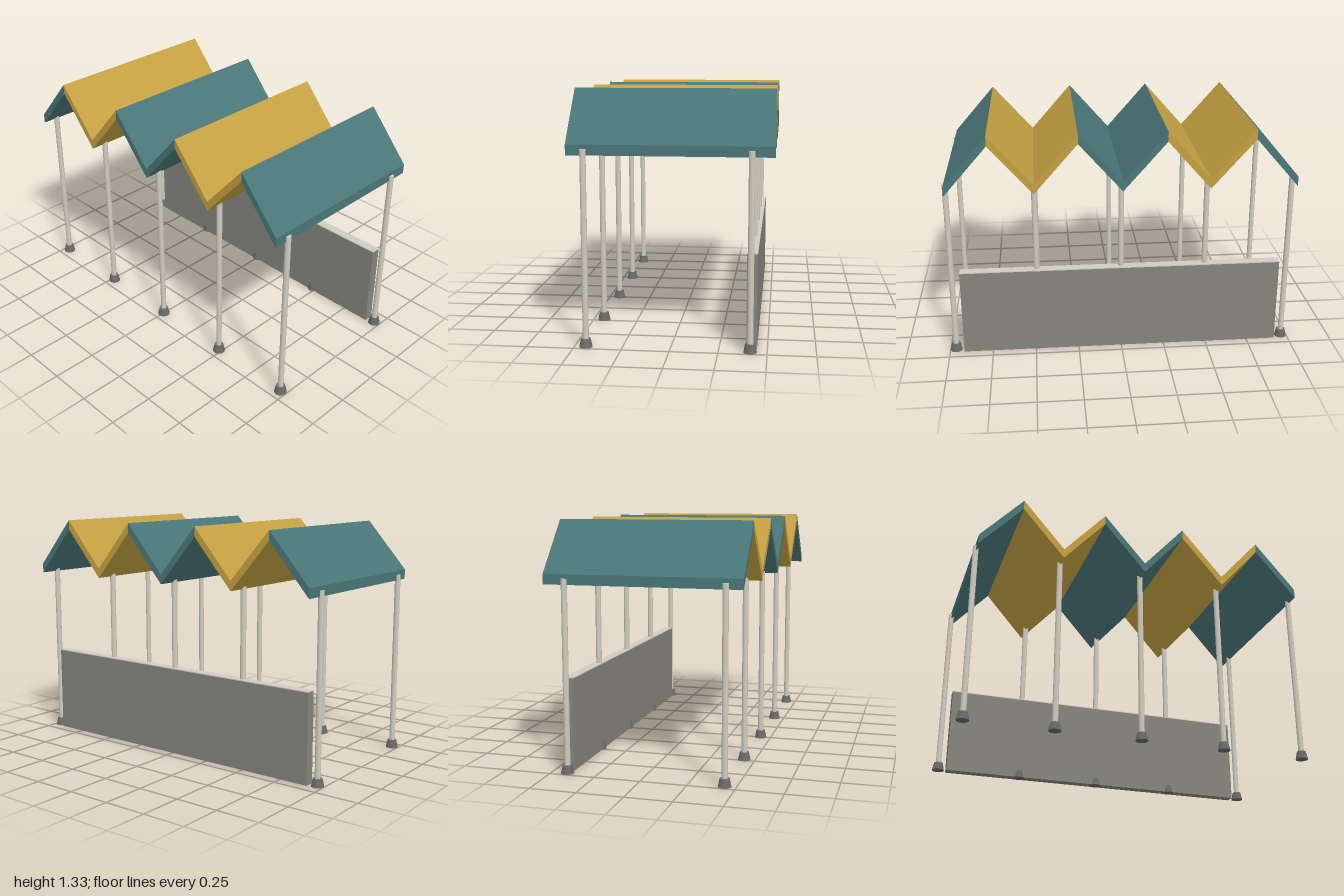
import * as THREE from 'three';

export function createModel() {
  const group = new THREE.Group();
  const mat = (name, color) => {
    const m = new THREE.MeshStandardMaterial({ color });
    m.name = name;
    return m;
  };
  const teal = mat('teal', 0x4a7779);
  const ochre = mat('ochre', 0xc5a142);
  const pale = mat('pale metal', 0xd0ccc0);
  const stone = mat('panel grey', 0x85857d);
  const dark = mat('foot grey', 0x6a6a68);

  const add = (name, geometry, material, x = 0, y = 0, z = 0) => {
    const mesh = new THREE.Mesh(geometry, material);
    mesh.name = name;
    mesh.position.set(x, y, z);
    group.add(mesh);
    return mesh;
  };

  // Zigzag roof: eight sheared slabs with vertical ends
  const halfWidth = 0.53, end = 0.965, step = end / 4;
  const low = 1.0, high = 1.275, thick = 0.055;
  const colours = [teal, ochre, ochre, teal, teal, ochre, ochre, teal];
  colours.forEach((material, i) => {
    const z0 = -end + i * step, z1 = z0 + step;
    const y0 = i % 2 ? high : low, y1 = i % 2 ? low : high;
    // the shape's x axis becomes -z after the turn
    const shape = new THREE.Shape([
      new THREE.Vector2(-z0, y0), new THREE.Vector2(-z1, y1),
      new THREE.Vector2(-z1, y1 + thick), new THREE.Vector2(-z0, y0 + thick),
    ]);
    const slab = new THREE.ExtrudeGeometry(shape, { depth: halfWidth * 2, bevelEnabled: false });
    slab.rotateY(Math.PI / 2);
    slab.translate(-halfWidth, 0, 0);
    add('roofSlab', slab, material);
  });

  // Posts under the eaves and valleys, each on a tapered foot
  const post = new THREE.CylinderGeometry(0.016, 0.016, 1.03, 20);
  const foot = new THREE.CylinderGeometry(0.025, 0.035, 0.045, 20);
  for (const x of [-0.44, 0.413]) {
    for (let i = -2; i <= 2; i++) {
      const z = i * 0.4825;
      add('post', post, pale, x, 0.517, z);
      add('foot', foot, dark, x, 0.0225, z);
    }
  }

  // Low side wall with a pale top edge
  add('sideWall', new THREE.BoxGeometry(0.055, 0.5, 1.836), stone, 0.419, 0.251, 0);
  add('wallTopEdge', new THREE.BoxGeometry(0.055, 0.005, 1.836), pale, 0.419, 0.5035, 0);

  return group;
}
